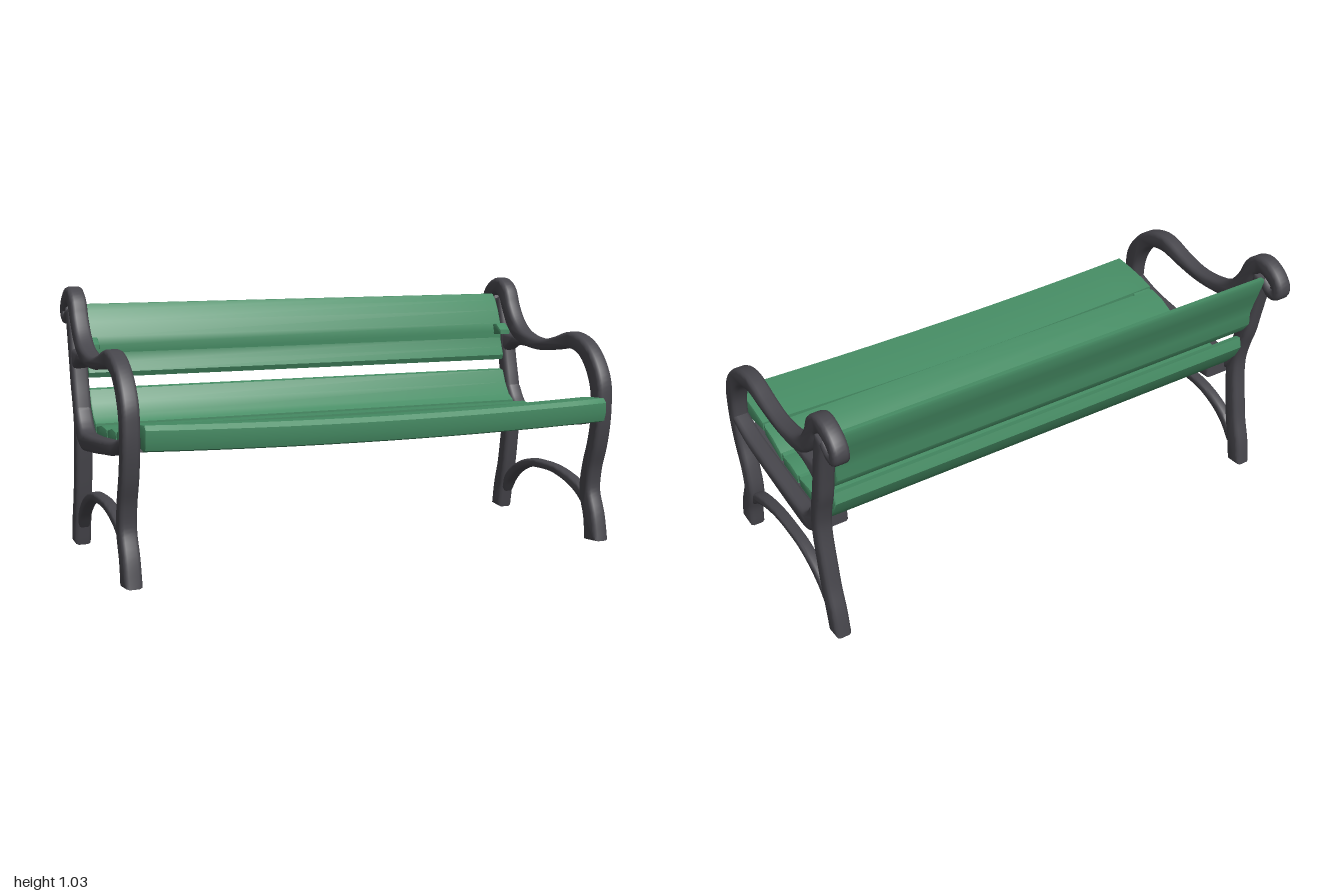
import * as THREE from 'three';
import { toCreasedNormals } from 'three/addons/utils/BufferGeometryUtils.js';

const iron = new THREE.MeshStandardMaterial({ color: 0x47464c });
iron.name = 'dark iron';
const green = new THREE.MeshStandardMaterial({ color: 0x468c64 });
green.name = 'green slats';

// Extrudes a (z, y) outline along x, centred on x = 0
function extrudeAlongX(shape, width, bevel, steps = 1) {
  const g = new THREE.ExtrudeGeometry(shape, {
    depth: width - 2 * bevel, steps, curveSegments: 6,
    bevelEnabled: bevel > 0, bevelThickness: bevel, bevelSize: bevel, bevelOffset: -bevel, bevelSegments: 2,
  });
  g.translate(0, 0, -(width - 2 * bevel) / 2);
  g.rotateY(-Math.PI / 2);
  return g;
}

// Outline of a bar following [z, y, halfWidth] points
function barShape(points, samples) {
  const curve = new THREE.CatmullRomCurve3(points.map(p => new THREE.Vector3(...p)));
  const left = [], right = [];
  for (let i = 0; i <= samples; i++) {
    const p = curve.getPoint(i / samples), t = curve.getTangent(i / samples);
    const n = new THREE.Vector2(-t.y, t.x).normalize().multiplyScalar(p.z);
    left.push(new THREE.Vector2(p.x + n.x, Math.max(0, p.y + n.y)));
    right.unshift(new THREE.Vector2(p.x - n.x, Math.max(0, p.y - n.y)));
  }
  return new THREE.Shape([...left, ...right]);
}

function bar(name, points, samples, width = 0.065, bevel = 0.014) {
  const g = extrudeAlongX(barShape(points, samples), width, bevel);
  const mesh = new THREE.Mesh(toCreasedNormals(g, 0.9), iron);
  mesh.name = name;
  return mesh;
}

// Full-width slat from a (z, y) outline, sagging by dip at mid-span
function slat(name, outline, dip = 0, width = 1.87, bevel = 0.006) {
  const shape = new THREE.Shape(outline.map(p => new THREE.Vector2(...p)));
  const g = extrudeAlongX(shape, width, bevel, dip ? 14 : 1);
  const pos = g.attributes.position;
  for (let i = 0; i < pos.count; i++) {
    const k = pos.getX(i) / (width / 2);
    pos.setY(i, pos.getY(i) - dip * (1 - k * k));
  }
  const mesh = new THREE.Mesh(toCreasedNormals(g, 0.7), green);
  mesh.name = name;
  return mesh;
}

function sideFrame(side) {
  const frame = new THREE.Group();
  frame.name = side > 0 ? 'leftFrame' : 'rightFrame';

  // Front leg, armrest and scroll in one sweep
  frame.add(bar('frontLegAndArmrest', [
    [0.415, 0, 0.045], [0.397, 0.1, 0.04], [0.362, 0.2, 0.037], [0.374, 0.3, 0.034],
    [0.407, 0.4, 0.034], [0.427, 0.5, 0.034], [0.429, 0.58, 0.036], [0.418, 0.65, 0.04],
    [0.375, 0.725, 0.038], [0.31, 0.78, 0.035], [0.22, 0.803, 0.034], [0.1, 0.78, 0.027],
    [0, 0.765, 0.023], [-0.1, 0.769, 0.025], [-0.19, 0.79, 0.03], [-0.255, 0.835, 0.033],
    [-0.305, 0.905, 0.033], [-0.338, 0.968, 0.036], [-0.39, 0.998, 0.034], [-0.45, 0.98, 0.031],
    [-0.488, 0.94, 0.027], [-0.484, 0.912, 0.024], [-0.458, 0.903, 0.022],
    [-0.43, 0.917, 0.02], [-0.405, 0.94, 0.018],
  ], 110));

  frame.add(bar('backPost', [
    [-0.366, 0, 0.036], [-0.348, 0.1, 0.037], [-0.322, 0.2, 0.034], [-0.305, 0.3, 0.033],
    [-0.288, 0.42, 0.031], [-0.286, 0.5, 0.031], [-0.302, 0.58, 0.031], [-0.325, 0.66, 0.033],
    [-0.344, 0.75, 0.032], [-0.365, 0.85, 0.032], [-0.39, 0.945, 0.03],
  ], 44));

  // Lower end of the armrest meeting the post
  frame.add(bar('armBrace', [
    [-0.08, 0.765, 0.02], [-0.2, 0.767, 0.02], [-0.27, 0.762, 0.027], [-0.33, 0.75, 0.045],
  ], 14, 0.06));

  frame.add(bar('legArch', [
    [0.355, 0.15, 0.022], [0.3, 0.19, 0.022], [0.22, 0.222, 0.019], [0.1, 0.246, 0.017],
    [0, 0.248, 0.017], [-0.1, 0.24, 0.018], [-0.2, 0.204, 0.02], [-0.27, 0.155, 0.022],
    [-0.32, 0.09, 0.022],
  ], 36, 0.045, 0.01));

  frame.add(bar('seatRail', [
    [0.42, 0.53, 0.02], [0.3, 0.49, 0.025], [0.1, 0.465, 0.028], [-0.1, 0.447, 0.032],
    [-0.2, 0.447, 0.036], [-0.25, 0.48, 0.038], [-0.29, 0.55, 0.03],
  ], 36));
  frame.position.x = side * 0.9675;

  // Wide bracket carrying the seat slats
  const bracket = bar('seatBracket', [
    [0.36, 0.498, 0.018], [0.2, 0.472, 0.02], [0, 0.448, 0.023], [-0.15, 0.435, 0.025], [-0.25, 0.44, 0.025],
  ], 20, 0.14, 0.012);
  bracket.position.x = -side * 0.055;
  frame.add(bracket);
  return frame;
}

export function createModel() {
  const bench = new THREE.Group();
  bench.name = 'parkBench';
  bench.add(sideFrame(1), sideFrame(-1));

  // Thick front slat with a rolled lip
  bench.add(slat('frontSeatSlat', [
    [0.27, 0.53], [0.34, 0.52], [0.42, 0.51], [0.48, 0.5], [0.507, 0.508], [0.517, 0.54],
    [0.517, 0.58], [0.5, 0.597], [0.42, 0.592], [0.34, 0.582], [0.27, 0.568],
  ], 0.018));

  // Flat seat slats: [back z, front z, back top y, front top y]
  const flats = [[0.118, 0.258, 0.525, 0.565], [-0.022, 0.1, 0.513, 0.522], [-0.2, -0.038, 0.503, 0.512]];
  for (const [z0, z1, y0, y1] of flats) {
    const zm = (z0 + z1) / 2, ym = (y0 + y1) / 2;
    bench.add(slat('seatSlat', [
      [z0, y0 - 0.045], [z1, y1 - 0.045], [z1, y1 - 0.006], [zm, ym + 0.004], [z0, y0 - 0.006],
    ]));
  }

  // Short end pieces closing the gaps beside the frames
  for (const side of [1, -1]) {
    const end = slat('seatEndBatten', [
      [-0.21, 0.465], [0.11, 0.482], [0.3, 0.53], [0.3, 0.565], [0.25, 0.556], [0.11, 0.516], [-0.21, 0.494],
    ], 0, 0.09);
    end.position.x = side * 0.885;
    bench.add(end);
  }

  bench.add(slat('lowerBackSlat', [
    [-0.213, 0.465], [-0.213, 0.505], [-0.25, 0.528], [-0.283, 0.575], [-0.307, 0.628],
    [-0.33, 0.632], [-0.342, 0.59], [-0.315, 0.535], [-0.27, 0.48],
  ]));

  bench.add(slat('upperBackrest', [
    [-0.41, 0.96], [-0.385, 0.935], [-0.36, 0.89], [-0.337, 0.835], [-0.326, 0.8], [-0.334, 0.77],
    [-0.32, 0.73], [-0.306, 0.695], [-0.315, 0.675], [-0.342, 0.675], [-0.374, 0.72], [-0.372, 0.77],
    [-0.39, 0.83], [-0.408, 0.88], [-0.43, 0.945], [-0.428, 0.96],
  ]));

  // Small ends standing proud behind the armrests
  for (const side of [1, -1]) {
    const stub = slat('backrestEndBlock', [
      [-0.27, 0.79], [-0.27, 0.81], [-0.31, 0.835], [-0.35, 0.83], [-0.35, 0.785],
    ], 0, 0.05);
    stub.position.x = side * 0.92;
    bench.add(stub);
  }
  return bench;
}
